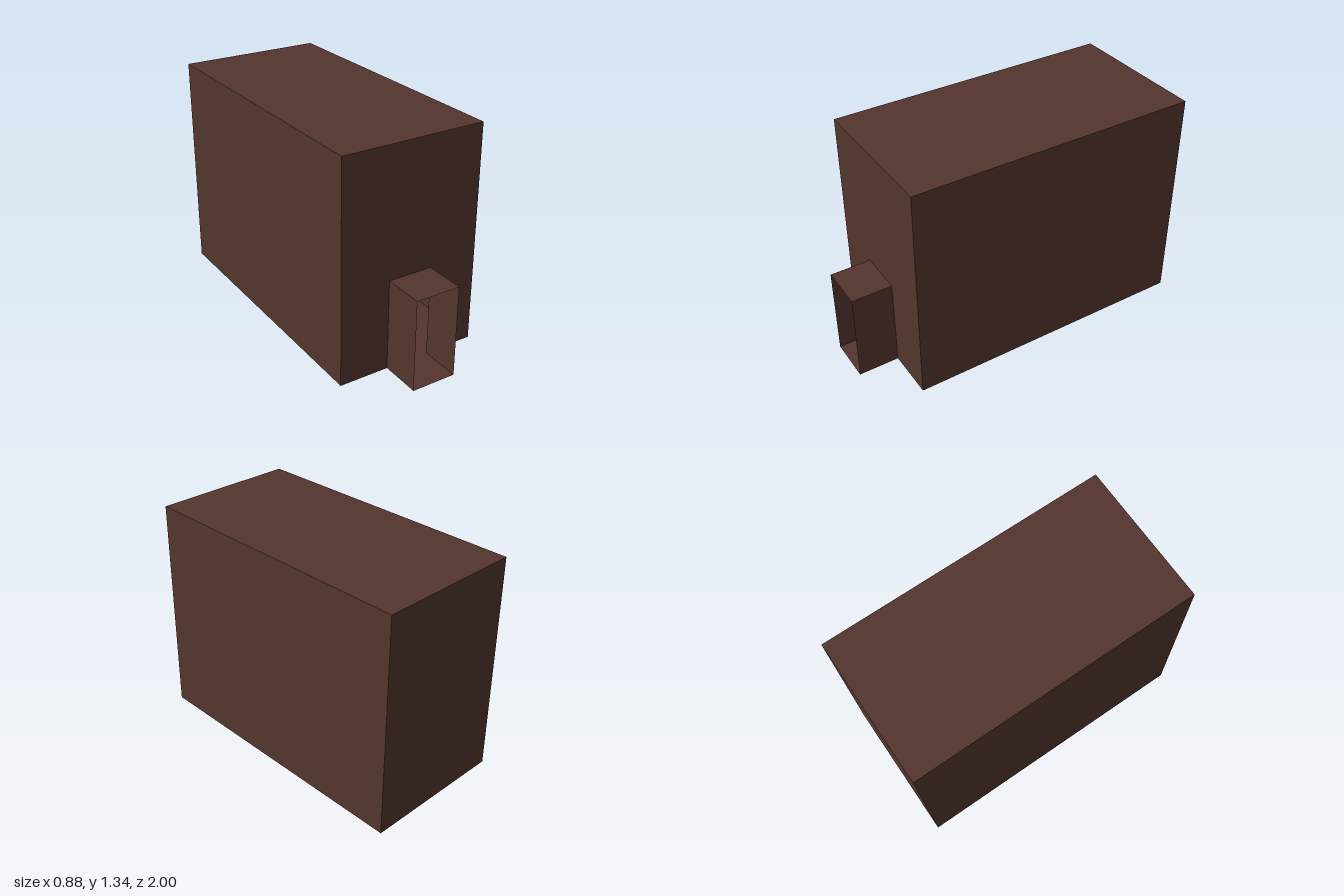
import * as THREE from 'three';

const HOUSE = { w: 0.88, h: 1.335, z0: -1, z1: 0.755 };
const PORCH = { w: 0.272, h: 0.556, z0: 0.755, z1: 1 };

// Hollow box standing on y = 0, keeping only the first `faces` sides
// (order: +x, -x, top, floor, front, back), six indices per side.
function shellGeometry({ w, h, z0, z1 }, skip) {
  const geo = new THREE.BoxGeometry(w, h, z1 - z0);
  geo.translate(0, h / 2, (z0 + z1) / 2);
  const index = Array.from(geo.index.array);
  geo.setIndex(index.filter((_, i) => !skip.includes(Math.floor(i / 6))));
  geo.clearGroups();
  return geo;
}

export function createModel() {
  const group = new THREE.Group();
  group.name = 'hollowHouse';
  const brown = new THREE.MeshStandardMaterial({ color: 0x53352d, side: THREE.DoubleSide });
  brown.name = 'darkBrown';

  const add = (name, geometry) => {
    const mesh = new THREE.Mesh(geometry, brown);
    mesh.name = name;
    group.add(mesh);
    return mesh;
  };

  // Side walls, roof, floor and back wall
  add('houseShell', shellGeometry(HOUSE, [4]));

  // Front wall with a doorway notch
  const a = HOUSE.w / 2, d = PORCH.w / 2;
  const wall = new THREE.Shape([
    [-a, 0], [-d, 0], [-d, PORCH.h], [d, PORCH.h], [d, 0], [a, 0], [a, HOUSE.h], [-a, HOUSE.h],
  ].map(([x, y]) => new THREE.Vector2(x, y)));
  add('frontWall', new THREE.ShapeGeometry(wall)).position.z = HOUSE.z1;

  // Entrance tunnel, open at both ends
  add('entrancePorch', shellGeometry(PORCH, [4, 5]));

  return group;
}
